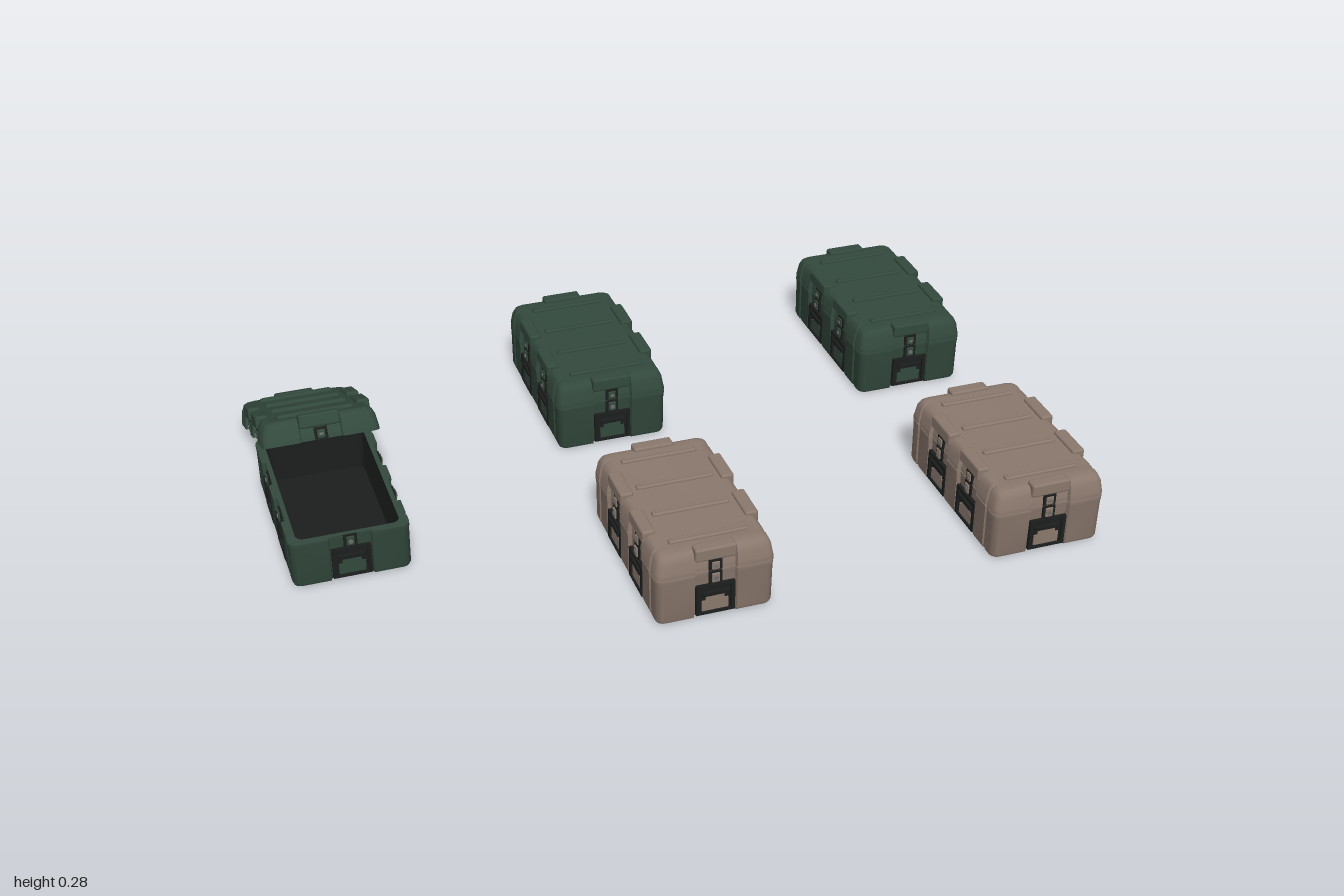
import * as THREE from 'three';
import { toCreasedNormals } from 'three/addons/utils/BufferGeometryUtils.js';
import { RoundedBoxGeometry } from 'three/addons/geometries/RoundedBoxGeometry.js';

const HW = 0.152, HL = 0.252, SEAM = 0.133;

const material = (name, color) => {
  const m = new THREE.MeshStandardMaterial({ color });
  m.name = name;
  return m;
};

// Points along one straight side, with a recess at each station [centre, half width, depth]
function sidePoints(half, stations, notch) {
  return stations.flatMap(([c, w, d]) => [
    [half, c - w - 0.003], [half - d * notch, c - w], [half - d * notch, c + w], [half, c + w + 0.003]]);
}

const LONG = [[-0.2, 0.004, 0.004], [-0.085, 0.052, 0.01], [0.085, 0.052, 0.01], [0.2, 0.004, 0.004]];
const SHORT = [[0, 0.052, 0.01]];

// Counter-clockwise case outline seen from above, as (x, -z)
function outline(inset, notch) {
  const hw = HW - inset, hl = HL - inset, r = 0.02, pts = [];
  for (let s = 0; s < 4; s++) {
    const a = s * Math.PI / 2, c = Math.cos(a), n = Math.sin(a);
    const [h, l, st] = s % 2 ? [hl, hw, SHORT] : [hw, hl, LONG];
    const side = sidePoints(h, st, notch);
    for (let k = 0; k <= 4; k++) {
      const t = k * Math.PI / 8;
      side.push([h - r + r * Math.cos(t), l - r + r * Math.sin(t)]);
    }
    side.forEach(([u, v]) => pts.push(new THREE.Vector2(u * c - v * n, u * n + v * c)));
  }
  return pts;
}

// Skin through levels [y, inset, notch], with optional caps
function loft(levels, capStart, capEnd) {
  const rings = levels.map(([y, inset, notch]) => outline(inset, notch).map(p => [p.x, y, -p.y]));
  const pos = [], n = rings[0].length;
  for (let k = 0; k < rings.length - 1; k++) {
    const a = rings[k], b = rings[k + 1];
    for (let i = 0; i < n; i++) {
      const j = (i + 1) % n;
      pos.push(...a[i], ...a[j], ...b[j], ...a[i], ...b[j], ...b[i]);
    }
  }
  const cap = (ring, flip) => {
    const flat = ring.map(p => new THREE.Vector2(p[0], -p[2]));
    for (const [i, j, k] of THREE.ShapeUtils.triangulateShape(flat, []))
      pos.push(...ring[i], ...ring[flip ? k : j], ...ring[flip ? j : k]);
  };
  if (capStart) cap(rings[0], true);
  if (capEnd) cap(rings[rings.length - 1], false);
  const g = new THREE.BufferGeometry();
  g.setAttribute('position', new THREE.Float32BufferAttribute(pos, 3));
  g.computeVertexNormals();
  return toCreasedNormals(g, 0.6);
}

function add(parent, name, geometry, mat, x = 0, y = 0, z = 0) {
  const mesh = new THREE.Mesh(geometry, mat);
  mesh.name = name;
  mesh.position.set(x, y, z);
  parent.add(mesh);
  return mesh;
}
const box = (w, h, d) => new THREE.BoxGeometry(w, h, d);
const rounded = (w, h, d, r) => new RoundedBoxGeometry(w, h, d, 2, r);

// Stepped plate seen behind each carrying handle
function handlePlate() {
  const s = new THREE.Shape();
  [[-0.034, 0], [0.034, 0], [0.034, 0.03], [0.024, 0.03], [0.024, 0.042],
    [-0.024, 0.042], [-0.024, 0.03], [-0.034, 0.03]].forEach(([x, y], i) => i ? s.lineTo(x, y) : s.moveTo(x, y));
  return new THREE.ExtrudeGeometry(s, { depth: 0.003, bevelEnabled: false });
}

// Six fitting places around the case; local +z faces outward, origin on the recess floor
function atStations(parent, build) {
  const places = [[0, HL, 0], [0, -HL, Math.PI]];
  for (const z of [-0.085, 0.085]) places.push([HW, z, Math.PI / 2], [-HW, z, -Math.PI / 2]);
  places.forEach(([x, z, turn]) => {
    const g = new THREE.Group();
    g.name = 'fitting';
    g.position.set(x, 0, z);
    g.rotation.y = turn;
    g.translateZ(-0.01);
    build(g);
    parent.add(g);
  });
}

function makeBase(shell, black, metal) {
  const base = new THREE.Group();
  base.name = 'base';
  add(base, 'baseShell', loft([[0, 0.012, 1], [0.004, 0.005, 1], [0.012, 0.002, 1], [0.118, 0.001, 1],
    [0.122, 0, 1], [SEAM - 0.002, 0, 1], [SEAM - 0.002, 0.022, 0]], true, false), shell);
  add(base, 'baseLining', loft([[SEAM - 0.002, 0.022, 0], [0.012, 0.026, 0]], false, true), black);
  atStations(base, g => {
    // Recessed handle with its frame and grip
    add(g, 'handleBack', box(0.1, 0.085, 0.003), black, 0, 0.0525, 0.0005);
    for (const s of [-1, 1]) add(g, 'handleFrameSide', box(0.01, 0.085, 0.009), black, s * 0.045, 0.0525, 0.0045);
    add(g, 'handleFrameTop', box(0.1, 0.008, 0.009), black, 0, 0.091, 0.0045);
    add(g, 'handleFrameFoot', box(0.1, 0.005, 0.009), black, 0, 0.0125, 0.0045);
    add(g, 'handlePlate', handlePlate(), shell, 0, 0.018, 0.002);
    add(g, 'handleGrip', rounded(0.07, 0.014, 0.008, 0.003), black, 0, 0.07, 0.007);
    // Lower half of the latch
    add(g, 'latchPlate', box(0.034, 0.034, 0.005), black, 0, 0.114, 0.0025);
    add(g, 'latchBody', rounded(0.02, 0.026, 0.006, 0.002), shell, 0, 0.114, 0.006);
    const knob = add(g, 'latchKnob', new THREE.CylinderGeometry(0.006, 0.006, 0.004, 12), metal, 0, 0.114, 0.0095);
    knob.rotation.x = Math.PI / 2;
  });
  return base;
}

function makeLid(shell, black, metal) {
  const lid = new THREE.Group();
  lid.name = 'lid';
  add(lid, 'lidShell', loft([[0, 0.022, 0], [0, 0, 1], [0.01, 0, 1], [0.014, 0.001, 1], [0.04, 0.005, 1],
    [0.054, 0.011, 1], [0.06, 0.018, 1], [0.062, 0.026, 1]], false, true), shell);
  add(lid, 'lidLining', loft([[0.05, 0.03, 0], [0, 0.022, 0]], true, false), black);
  // Stacking ribs across the top
  for (const z of [-0.182, -0.06, 0.062, 0.184]) {
    add(lid, 'topRib', rounded(0.2, 0.014, 0.02, 0.005), shell, 0, 0.0625, z);
    add(lid, 'topRibRidge', box(0.185, 0.003, 0.008), shell, 0, 0.0695, z);
  }
  atStations(lid, g => {
    // Guard block over the latch, and the upper half of the latch
    add(g, 'latchGuard', rounded(0.106, 0.036, 0.034, 0.006), shell, 0, 0.052, -0.009);
    add(g, 'latchHasp', box(0.034, 0.031, 0.005), black, 0, 0.0165, 0.0005);
    add(g, 'latchHook', rounded(0.02, 0.022, 0.005, 0.002), shell, 0, 0.015, 0.004);
    add(g, 'latchPin', box(0.01, 0.006, 0.003), metal, 0, 0.015, 0.0075);
  });
  return lid;
}

export function createModel() {
  const green = material('olive green', 0x33493d);
  const tan = material('desert tan', 0x8a786d);
  const black = material('black rubber', 0x1c1d1d);
  const metal = material('latch metal', 0x6a6e6b);

  const model = new THREE.Group();
  model.name = 'storageCases';
  const places = [[-0.043, -0.409, green], [0.845, -0.42, green], [-0.043, 0.41, tan], [0.845, 0.418, tan],
    [-0.845, -0.017, green, true]];
  for (const [x, z, shell, open] of places) {
    const crate = new THREE.Group();
    crate.name = open ? 'openCase' : 'closedCase';
    crate.position.set(x, 0, z);
    const lid = makeLid(shell, black, metal);
    // The loose lid leans on the rear rim of the open case
    if (open) {
      lid.position.set(0, 0.119, -0.294);
      lid.rotation.x = -0.412;
    } else lid.position.y = SEAM;
    crate.add(makeBase(shell, black, metal), lid);
    model.add(crate);
  }
  return model;
}
